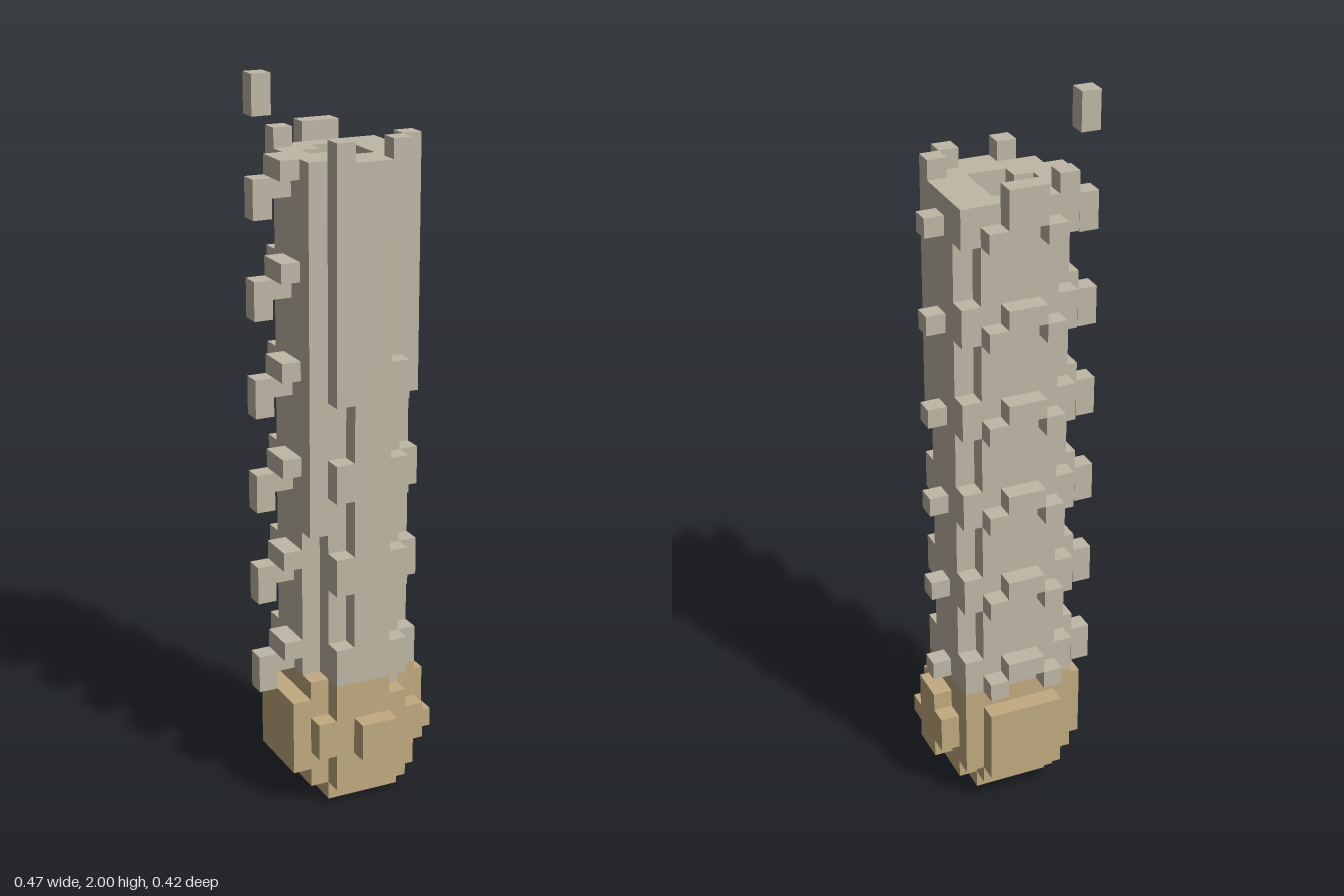
import * as THREE from 'three';
import { mergeGeometries } from 'three/addons/utils/BufferGeometryUtils.js';

const U = 2 / 38; // edge of one block

// Block spanning columns i0..i1 (x), layers k0..k1 (y) and rows r0..r1 (z), inclusive
function block(i0, i1, k0, k1, r0, r1) {
  const g = new THREE.BoxGeometry((i1 - i0 + 1) * U, (k1 - k0 + 1) * U, (r1 - r0 + 1) * U);
  g.translate(((i0 + i1 + 1) / 2 - 4.5) * U, ((k0 + k1 + 1) / 2) * U, ((r0 + r1 + 1) / 2 - 4) * U);
  return g;
}

export function createModel() {
  const model = new THREE.Group();
  const stone = new THREE.MeshStandardMaterial({ color: 0xbfb8a6 });
  stone.name = 'stone';
  const sand = new THREE.MeshStandardMaterial({ color: 0xc1aa80 });
  sand.name = 'sand';

  const add = (name, material, list) => {
    const mesh = new THREE.Mesh(mergeGeometries(list.map((b) => block(...b))), material);
    mesh.name = name;
    model.add(mesh);
  };

  // Rounded base, stacked in stepped layers
  add('base', sand, [
    [3, 6, 0, 0, 2, 5],
    [2, 7, 1, 5, 2, 5],
    [3, 6, 1, 5, 1, 6],
    [2, 7, 2, 5, 1, 1],
    [2, 7, 3, 4, 6, 6],
    [3, 6, 2, 5, 0, 0],
    [1, 1, 2, 5, 2, 5],
    // rim around the foot of the shaft
    [2, 7, 6, 6, 1, 1],
    [2, 2, 6, 6, 2, 5],
    [7, 7, 6, 6, 2, 5],
    [3, 5, 6, 6, 6, 6],
  ]);
  add('baseFrontKnob', sand, [[4, 5, 3, 4, 7, 7]]);
  add('baseSideKnob', sand, [
    [8, 8, 2, 5, 3, 4],
    [8, 8, 3, 4, 2, 2],
    [8, 8, 3, 3, 5, 5],
  ]);

  // Hollow shaft with an open top
  add('shaft', stone, [
    [3, 6, 6, 6, 2, 5], // floor
    [3, 6, 7, 33, 1, 1], // back wall
    [2, 2, 7, 33, 2, 4], // right wall
    [3, 3, 7, 33, 2, 2],
    [3, 3, 7, 33, 4, 4],
    [6, 7, 7, 33, 2, 4], // left wall
    [3, 6, 7, 33, 5, 5], // front wall
    [2, 2, 15, 33, 5, 5],
    [4, 5, 7, 33, 6, 6],
  ]);

  // Corner columns: solid from layer "solid" up to "top", short bands below it
  const corners = [
    { name: 'frontRightCorner', i: 3, r: 6, solid: 22, top: 34 },
    { name: 'frontLeftCorner', i: 6, r: 6, solid: 27, top: 34 },
    { name: 'leftFrontCorner', i: 7, r: 5, solid: 22, top: 34 },
    { name: 'backLeftCorner', i: 7, r: 1, solid: 32, top: 33 },
    { name: 'backRightCorner', i: 2, r: 1, solid: 32, top: 34 },
  ];
  for (const { name, i, r, solid, top } of corners) {
    const list = [[i, i, solid, top, r, r]];
    for (let k = 7; k < solid; k += 5) list.push([i, i, k, k + 1, r, r]);
    add(name, stone, list);
  }

  // Steps winding round the shaft, repeated every five layers
  const back = [], left = [], right = [];
  for (let k = 7; k <= 32; k += 5) {
    back.push([3, 3, k, k, 0, 0], [6, 6, k, k, 0, 0], [4, 5, k + 1, k + 1, 0, 0]);
    left.push([8, 8, k, k, 3, 3]);
    right.push([1, 1, k + 1, k + 1, 3, 4], [1, 1, k, k, 3, 3], [0, 0, k - 1, k, 3, 3]);
  }
  back.push([4, 5, 34, 34, 0, 0]);
  add('backSteps', stone, back);
  add('leftSteps', stone, left);
  add('rightSteps', stone, right);

  // Detached block above the top step
  add('floatingBlock', stone, [[0, 0, 36, 37, 3, 3]]);

  return model;
}
